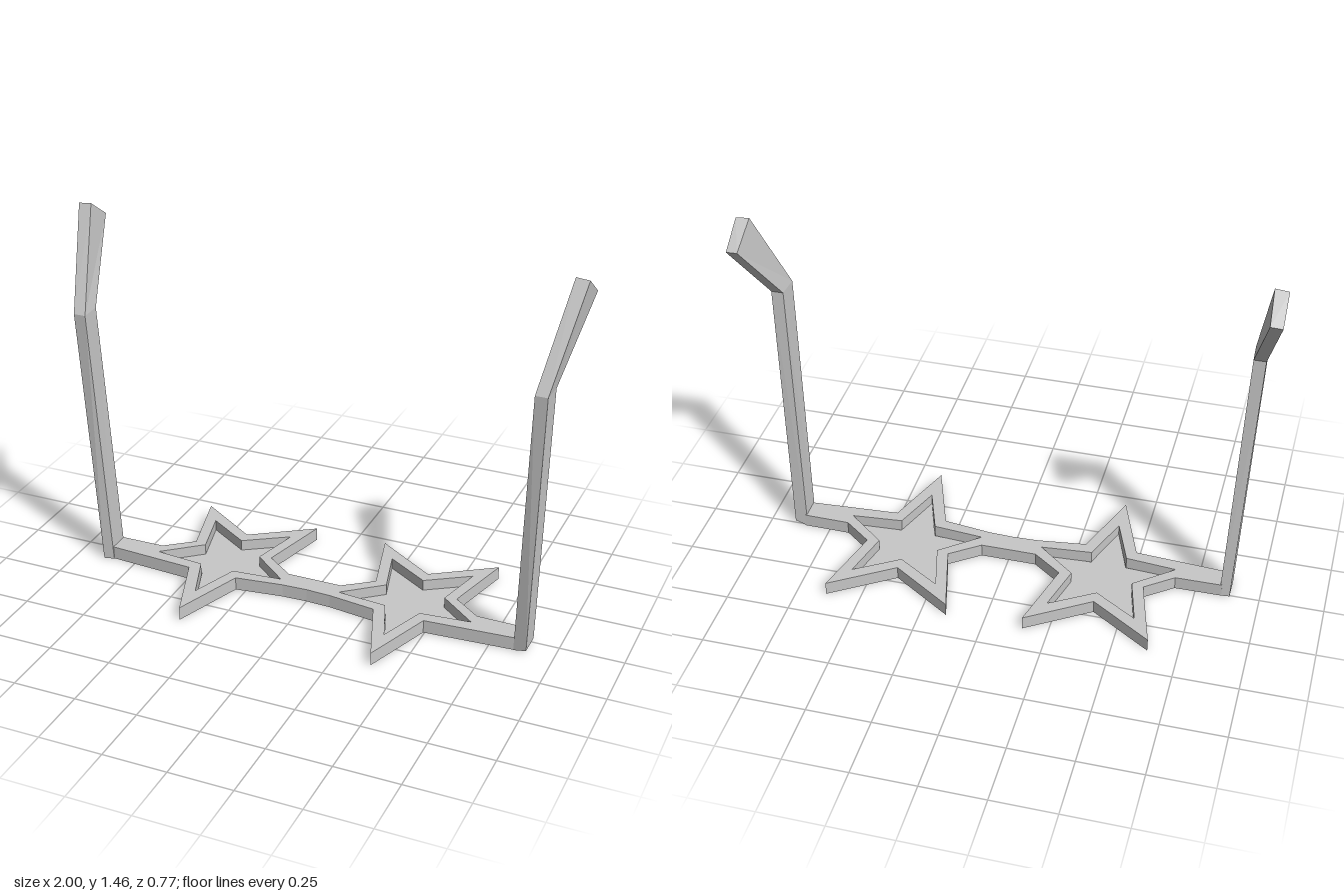
import * as THREE from 'three';

// Points are [x, z] on the ground plane; shapes are extruded upwards.
const toVectors = (pts) => pts.map(([x, z]) => new THREE.Vector2(x, -z));
const mirrorX = (pts) => pts.map(([x, z]) => [-x, z]).reverse();

// Half of the front, from front centre round to the back: bridge, star and end piece
const halfOutline = [
  [0, 0.071], [0.1, 0.075], [0.29, 0.1], [0.393, 0.385], [0.495, 0.1],
  [0.853, 0.077], [0.853, -0.008], [0.67, -0.01], [0.56, -0.095], [0.635, -0.385],
  [0.393, -0.225], [0.15, -0.385], [0.225, -0.095], [0.11, -0.01],
];

// Star opening; notchZ places the two notches beside the front point
const starHole = (notchZ) => [
  [0.393, -0.172], [0.562, -0.28], [0.513, -0.085], [0.663, 0.038], [0.463, notchZ],
  [0.393, 0.247], [0.323, notchZ], [0.123, 0.038], [0.273, -0.085], [0.222, -0.28],
];

function plate(points, holes, height) {
  const shape = new THREE.Shape(toVectors(points));
  holes.forEach((h) => shape.holes.push(new THREE.Path(toVectors(h))));
  const geo = new THREE.ExtrudeGeometry(shape, { depth: height, bevelEnabled: false });
  return geo.rotateX(-Math.PI / 2);
}

// Four-cornered bar through sections, each ordered: outer front, outer back, inner back, inner front
function loft(sections, side) {
  const pos = sections.flat().flatMap(([x, y, z]) => [x * side, y, z]);
  const idx = [];
  const last = (sections.length - 1) * 4;
  for (let s = 0; s < last; s += 4) {
    for (let i = 0; i < 4; i++) {
      const j = (i + 1) % 4;
      idx.push(s + i, s + j, s + 4 + i, s + j, s + 4 + j, s + 4 + i);
    }
  }
  idx.push(0, 2, 1, 0, 3, 2, last, last + 1, last + 2, last, last + 2, last + 3);
  if (side < 0) idx.reverse();
  const indexed = new THREE.BufferGeometry();
  indexed.setAttribute('position', new THREE.Float32BufferAttribute(pos, 3));
  indexed.setIndex(idx);
  const geo = indexed.toNonIndexed();
  geo.computeVertexNormals();
  return geo;
}

export function createModel() {
  const group = new THREE.Group();
  const grey = new THREE.MeshStandardMaterial({ color: 0xc8c8c8 });
  grey.name = 'light grey';

  const add = (name, geo) => {
    const mesh = new THREE.Mesh(geo, grey);
    mesh.name = name;
    group.add(mesh);
    return mesh;
  };

  // Front frame with two star openings
  const hole = starHole(0.056);
  const outline = [...halfOutline, ...mirrorX(halfOutline.slice(1))];
  add('frontFrame', plate(outline, [hole, mirrorX(hole)], 0.053));

  // Thin lenses, a little short of the opening at the side points
  const lens = starHole(0.05);
  add('leftLens', plate(lens, [], 0.007)).position.y = 0.002;
  add('rightLens', plate(mirrorX(lens), [], 0.007)).position.y = 0.002;

  // Temple arms: hinge, bend behind the ear, tip
  const arm = (side, outerX, outerY) => loft([
    [[outerX, outerY, 0.09], [outerX, outerY, -0.005], [0.845, 0, -0.008], [0.845, 0, 0.08]],
    [[0.932, 1.08, 0.13], [0.935, 1.08, 0.04], [0.888, 1.08, 0.04], [0.884, 1.08, 0.13]],
    [[1, 1.45, -0.07], [1, 1.37, -0.185], [0.955, 1.375, -0.19], [0.948, 1.455, -0.07]],
  ], side);
  add('leftTemple', arm(1, 0.897, 0.015));
  add('rightTemple', arm(-1, 0.885, 0));

  return group;
}
